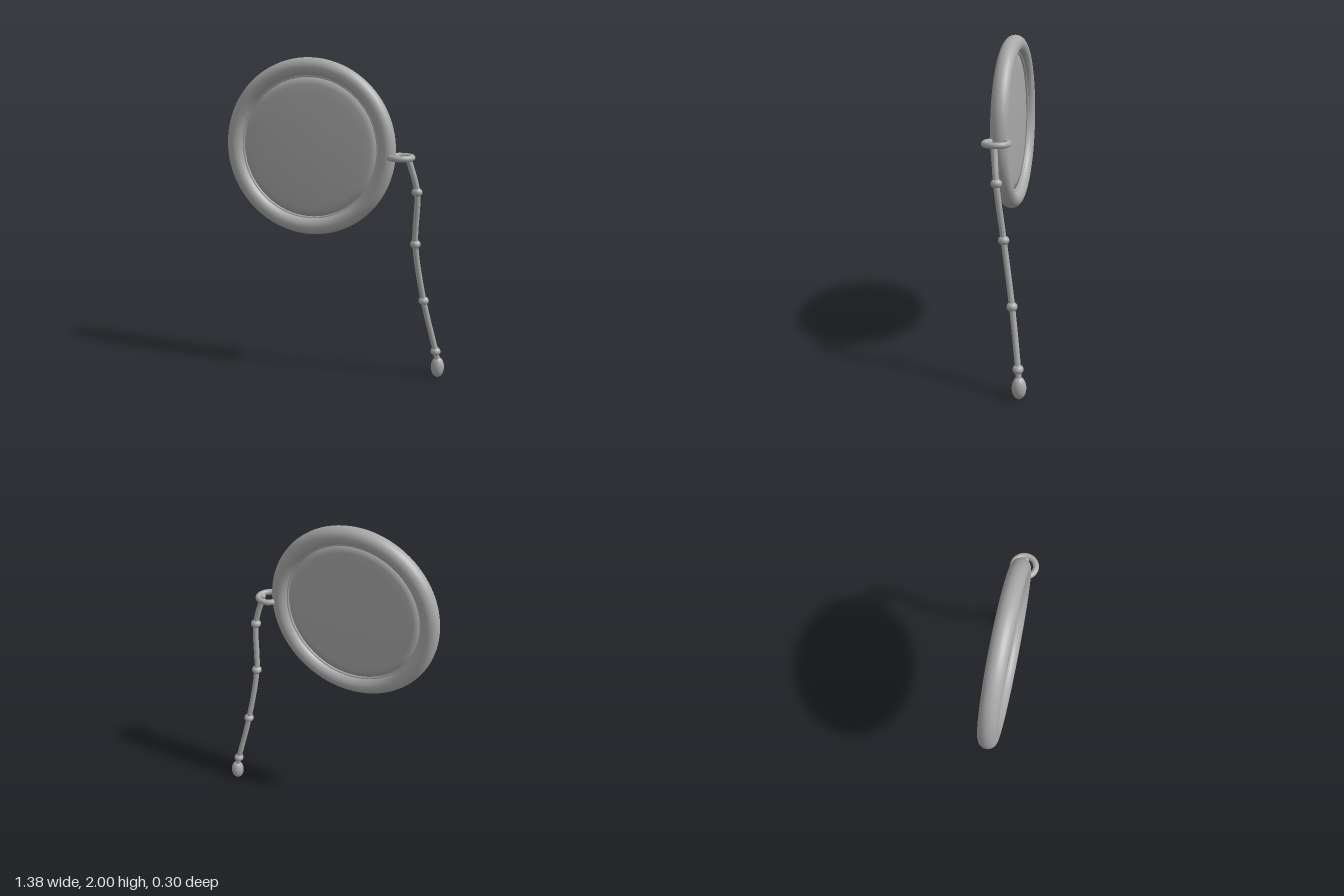
import * as THREE from 'three';

export function createModel() {
  const group = new THREE.Group();
  const metal = new THREE.MeshStandardMaterial({ color: 0xa8a8a8 });
  metal.name = 'grey metal';
  const glass = new THREE.MeshStandardMaterial({ color: 0xa8a8a8 });
  glass.name = 'grey glass';

  const add = (name, geometry, material, x, y, z) => {
    const mesh = new THREE.Mesh(geometry, material);
    mesh.name = name;
    mesh.position.set(x, y, z);
    group.add(mesh);
    return mesh;
  };

  // Round frame with a thin retaining lip on each side of the lens
  const cx = -0.153, cy = 1.463, cz = 0.059;
  add('frame', new THREE.TorusGeometry(0.484, 0.053, 24, 96), metal, cx, cy, cz);
  for (const side of [-1, 1]) {
    add('lensLip', new THREE.TorusGeometry(0.431, 0.008, 10, 96), metal, cx, cy, cz + side * 0.008);
  }

  // Lens, very slightly domed on both faces
  const profile = [];
  for (let i = 0; i <= 16; i++) {
    const t = -1 + i / 8;
    const r = 0.435 * (1 - Math.abs(t));
    profile.push(new THREE.Vector2(r, Math.sign(t) * (0.006 + 0.012 * (1 - (r / 0.435) ** 2))));
  }
  const lens = add('lens', new THREE.LatheGeometry(profile, 96), glass, cx, cy, cz);
  lens.rotation.x = Math.PI / 2;

  // Link ring lying flat around the edge of the frame
  const link = add('linkRing', new THREE.TorusGeometry(0.068, 0.018, 16, 48), metal, 0.414, 1.432, 0.06);
  link.rotation.x = Math.PI / 2;

  // Hanging cord through the beads
  const beads = [
    [0.513, 1.228, 0.042], [0.503, 0.9, 0.004], [0.553, 0.525, -0.052], [0.63, 0.178, -0.1],
  ];
  const path = new THREE.CatmullRomCurve3(
    [[0.463, 1.425, 0.062], ...beads, [0.645, 0.1, -0.108]].map((p) => new THREE.Vector3(...p)));
  add('cord', new THREE.TubeGeometry(path, 80, 0.018, 14), metal, 0, 0, 0);
  add('cordTop', new THREE.SphereGeometry(0.018, 14, 10), metal, 0.463, 1.425, 0.062);
  for (const p of beads) {
    add('bead', new THREE.SphereGeometry(0.032, 24, 16), metal, ...p).scale.y = 0.86;
  }

  // Oval weight at the end of the cord
  add('endDrop', new THREE.SphereGeometry(0.042, 28, 20), metal, 0.644, 0.07, -0.108).scale.y = 1.62;

  return group;
}
